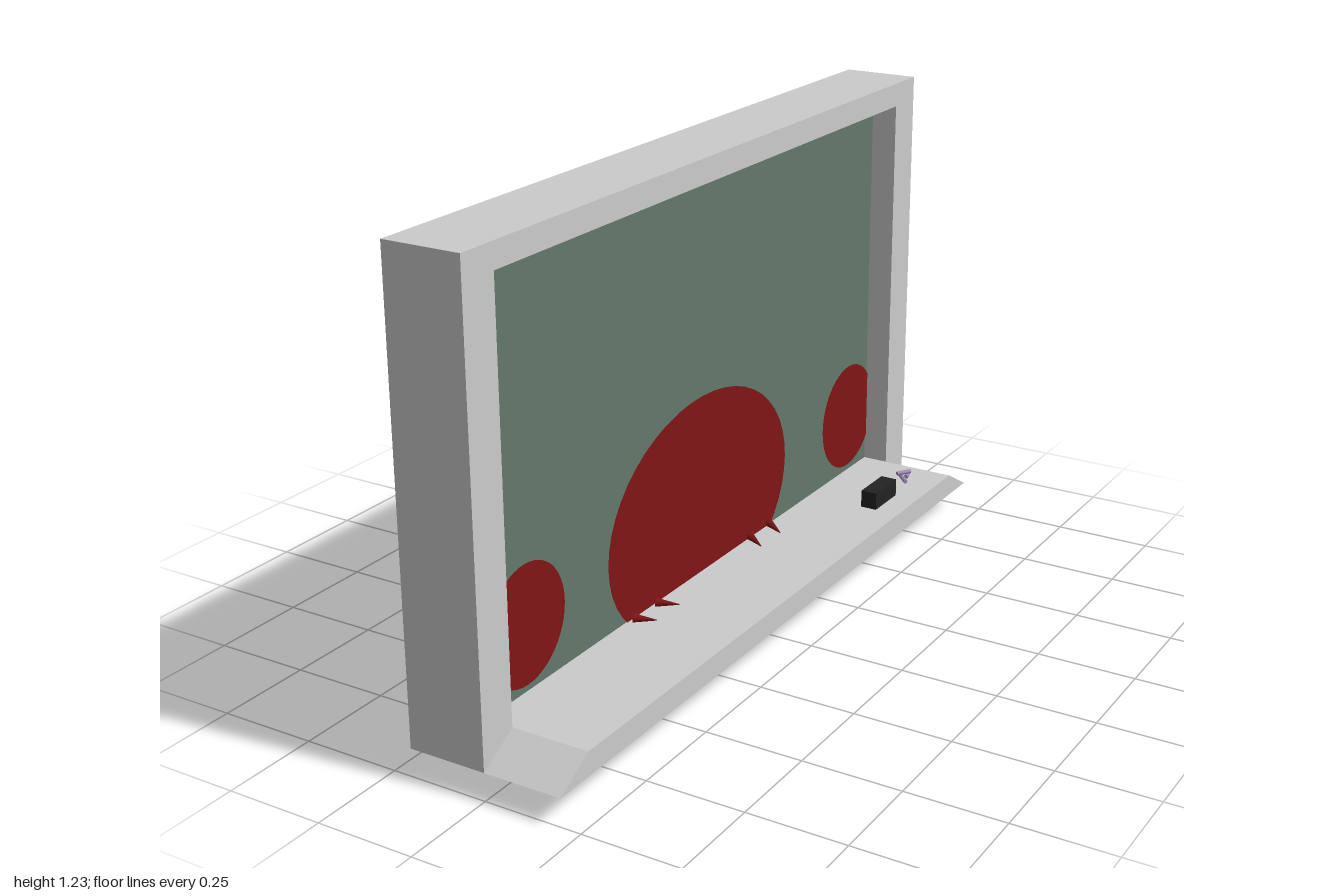
import * as THREE from 'three';

const grey = new THREE.MeshStandardMaterial({ color: 0xcccccc });
const green = new THREE.MeshStandardMaterial({ color: 0x637769 });
const red = new THREE.MeshStandardMaterial({ color: 0x801515, side: THREE.DoubleSide });
const black = new THREE.MeshStandardMaterial({ color: 0x222222 });
const purple = new THREE.MeshStandardMaterial({ color: 0xa48fb8 });

const BOTTOM = 0.07, TOP = 1.225, RECESS = -0.07;

export function createModel() {
  const group = new THREE.Group();

  const add = (name, geometry, material, x = 0, y = 0, z = 0) => {
    const mesh = new THREE.Mesh(geometry, material);
    mesh.name = name;
    mesh.position.set(x, y, z);
    group.add(mesh);
    return mesh;
  };
  const path = (points) => points.map(([u, v]) => new THREE.Vector2(u, v));
  // Extrudes an outline drawn across the board towards +x
  const extrudeX = (shape, depth) =>
    new THREE.ExtrudeGeometry(shape, { depth, bevelEnabled: false }).rotateY(Math.PI / 2);
  // Thin stick or spike between two points
  const rod = (name, a, b, rStart, rEnd, sides, material) => {
    const from = new THREE.Vector3(...a), to = new THREE.Vector3(...b);
    const dir = to.clone().sub(from);
    const mesh = add(name, new THREE.CylinderGeometry(rEnd, rStart, dir.length(), sides), material);
    mesh.position.copy(from).add(to).multiplyScalar(0.5);
    mesh.quaternion.setFromUnitVectors(new THREE.Vector3(0, 1, 0), dir.normalize());
    return mesh;
  };

  // Backing and raised rim
  add('backing', new THREE.BoxGeometry(0.13, TOP - BOTTOM, 2), grey, -0.135, (TOP + BOTTOM) / 2, 0);
  const rim = new THREE.Shape(path([[-1, BOTTOM], [1, BOTTOM], [1, TOP], [-1, TOP]]));
  rim.holes.push(new THREE.Path(path([[-0.895, 0.13], [-0.895, 1.163], [0.895, 1.163], [0.895, 0.13]])));
  add('frame', extrudeX(rim, -RECESS), grey, RECESS);

  // Writing surface
  add('board', new THREE.PlaneGeometry(1.79, 1.033).rotateY(Math.PI / 2), green, RECESS + 0.001, 0.6465, 0);

  // Ledge with slanted ends
  const ledge = new THREE.Shape(path([[-1, BOTTOM], [1, BOTTOM], [0.895, 0.13], [-0.895, 0.13]]));
  add('ledge', extrudeX(ledge, 0.2), grey);

  // Flat red discs on the board
  const disc = (name, y, z, ry, rz) =>
    add(name, new THREE.CircleGeometry(1, 48).rotateY(Math.PI / 2).scale(1, ry, rz), red, RECESS + 0.004, y, z);
  disc('largeDisc', 0.3, 0, 0.3, 0.42);
  disc('leftDisc', 0.295, 0.745, 0.148, 0.148);
  disc('rightDisc', 0.295, -0.78, 0.148, 0.148);

  // Red band under the ledge, with spikes pointing back from its ends
  const arc = new THREE.CatmullRomCurve3([
    new THREE.Vector3(0.03, 0.064, 0.27), new THREE.Vector3(0, 0.063, 0.14),
    new THREE.Vector3(-0.01, 0.062, 0),
    new THREE.Vector3(0, 0.063, -0.14), new THREE.Vector3(0.03, 0.064, -0.27),
  ]);
  const band = add('lowerBand', new THREE.TubeGeometry(arc, 24, 0.016, 6).scale(1, 0.5, 1), red);
  band.position.y = 0.031;
  for (const side of [1, -1]) {
    for (const [z, tipZ, tipX] of [[0.27, 0.28, -0.14], [0.23, 0.22, -0.12], [0.19, 0.15, -0.13]]) {
      rod('lowerSpike', [0.04, 0.062, z * side], [tipX, 0.068, tipZ * side], 0.012, 0.001, 5, red);
    }
    // Small tips showing above the ledge
    for (const z of [0.23, 0.33]) {
      rod('upperSpike', [-0.06, 0.138, z * side], [-0.01, 0.132, (z - 0.03) * side], 0.012, 0.001, 5, red);
    }
  }

  // Eraser and chalk
  add('eraser', new THREE.BoxGeometry(0.045, 0.047, 0.12), black, 0.112, 0.1535, -0.63);
  rod('chalk', [0.088, 0.137, -0.812], [0.122, 0.137, -0.775], 0.006, 0.006, 8, purple);
  rod('chalk', [0.088, 0.149, -0.79], [0.112, 0.149, -0.825], 0.006, 0.006, 8, purple);
  rod('chalk', [0.102, 0.137, -0.83], [0.108, 0.137, -0.807], 0.006, 0.006, 8, purple);

  return group;
}
